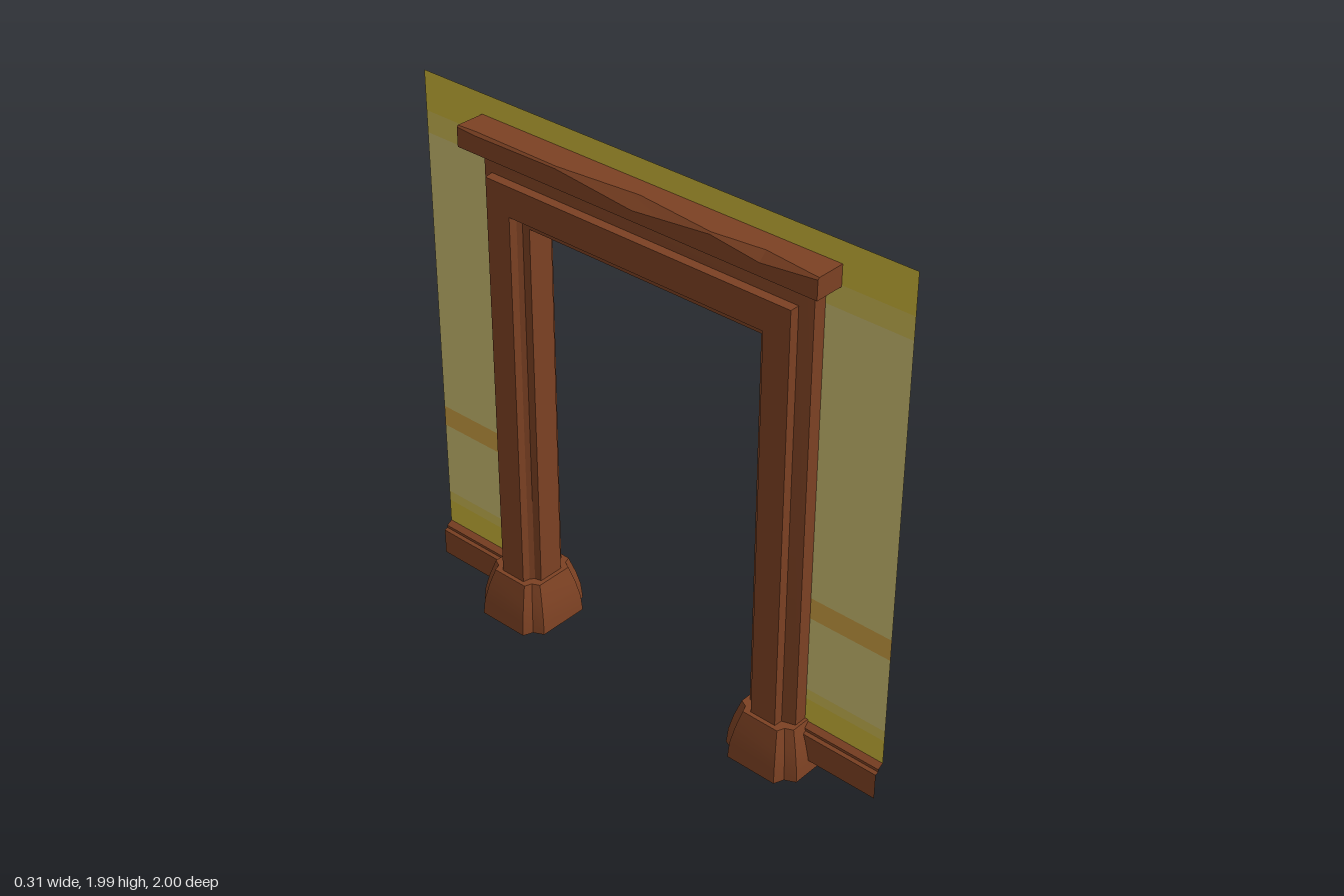
import * as THREE from 'three';
import { toCreasedNormals } from 'three/addons/utils/BufferGeometryUtils.js';

const mat = (name, color) => new THREE.MeshStandardMaterial({ name, color, side: THREE.DoubleSide });

// Skin a list of rings (arrays of [x, y, z]) into one surface
function loft(rings, { closed = true, capStart = false, capEnd = false, crease = 0.5 } = {}) {
  const pos = [];
  const tri = (a, b, c) => pos.push(...a, ...b, ...c);
  const n = rings[0].length;
  for (let r = 0; r < rings.length - 1; r++) {
    const A = rings[r], B = rings[r + 1];
    for (let i = 0; i < (closed ? n : n - 1); i++) {
      const j = (i + 1) % n;
      tri(A[i], A[j], B[j]);
      tri(A[i], B[j], B[i]);
    }
  }
  const cap = (ring, flip) => {
    const c = [0, 1, 2].map(k => ring.reduce((s, p) => s + p[k], 0) / n);
    ring.forEach((p, i) => {
      const q = ring[(i + 1) % n];
      if (flip) tri(c, q, p); else tri(c, p, q);
    });
  };
  if (capStart) cap(rings[0], true);
  if (capEnd) cap(rings[rings.length - 1], false);
  const g = new THREE.BufferGeometry();
  g.setAttribute('position', new THREE.Float32BufferAttribute(pos, 3));
  g.computeVertexNormals();
  return toCreasedNormals(g, crease);
}

export function createModel() {
  const group = new THREE.Group();
  const wood = mat('brown wood', 0x7c4123);
  const yellow = mat('yellow wall', 0xc9b238);
  const mid = mat('soft yellow wall', 0xc8b552);
  const khaki = mat('khaki wall', 0xc9ba70);
  const orange = mat('orange stripe', 0xc99c42);
  const add = (name, geo, material) => {
    const m = new THREE.Mesh(geo, material);
    m.name = name;
    group.add(m);
    return m;
  };

  // Moulded door frame: profile of [distance out from opening, half depth], swept with mitres
  const half = [[0, 0.05], [0.025, 0.056], [0.038, 0.07], [0.043, 0.097],
    [0.145, 0.097], [0.148, 0.065], [0.195, 0.05]];
  const profile = [...half, ...half.slice().reverse().map(([u, x]) => [u, -x])];
  const frameRing = (side, y) => profile.map(([u, x]) =>
    [x, y === null ? 1.6 + u * 1.08 : y, side * (0.485 + u)]);
  add('doorFrame', loft([frameRing(1, 0.02), frameRing(1, null),
    frameRing(-1, null), frameRing(-1, 0.02)]), wood);

  // Neck between frame and lintel
  const neck = new THREE.BoxGeometry(0.1, 0.07, 1.35);
  neck.translate(0, 1.805, 0);
  add('lintelNeck', neck, wood);

  // Lintel beam with worn upper edges: [z, chip on +x edge, chip on -x edge]
  const chips = [[-0.735, 0.025, 0.005], [-0.66, 0.005, 0.01], [-0.3, 0.038, 0.006],
    [0.02, 0.006, 0.038], [0.33, 0.038, 0.006], [0.52, 0.006, 0.03], [0.735, 0.005, 0.006]];
  add('lintel', loft(chips.map(([z, a, b]) => [
    [-0.113, 1.835, z], [0.113, 1.835, z], [0.113, 1.91 - a, z],
    [0.113 - a, 1.91, z], [-0.113 + b, 1.91, z], [-0.113, 1.91 - b, z],
  ]), { capStart: true, capEnd: true, crease: 0.15 }), wood);

  // Flared stone-like feet with notched corners, hollow underneath
  const plan = [];
  for (const [sx, sz] of [[1, 1], [-1, 1], [-1, -1], [1, -1]]) {
    const corner = [[0.155, 0.1], [0.118, 0.114], [0.1, 0.152]].map(([x, z]) => [sx * x, sz * z]);
    plan.push(...(sx * sz > 0 ? corner : corner.reverse()));
  }
  const levels = [[0, 1], [0.06, 0.965], [0.12, 0.87], [0.185, 0.73]];
  const foot = loft(levels.map(([y, s]) => plan.map(([x, z]) => [x * s, y, z * s])),
    { capEnd: true, crease: 0.35 });

  // Skirting board profile, set slightly to one side of the wall
  const skirt = [[-0.035, 0.05], [-0.035, 0.15], [-0.022, 0.155], [-0.022, 0.165], [0, 0.178]];

  // Wall colour bands beside the opening: [bottom, top, material, name]
  const bands = [
    [0.178, 0.27, yellow, 'wallLowerBand'],
    [0.27, 0.31, mid, 'wallLowerTrim'],
    [0.31, 0.6, khaki, 'wallLowerPanel'],
    [0.6, 0.68, orange, 'wallStripe'],
    [0.68, 1.76, khaki, 'wallPanel'],
    [1.76, 1.84, mid, 'wallUpperTrim'],
  ];
  const wallPlate = (name, y0, y1, z0, z1, material) => {
    const g = new THREE.PlaneGeometry(z1 - z0, y1 - y0);
    g.rotateY(Math.PI / 2);
    g.translate(0, (y0 + y1) / 2, (z0 + z1) / 2);
    add(name, g, material);
  };
  for (const [side, label] of [[1, 'Front'], [-1, 'Back']]) {
    add('foot' + label, foot, wood).position.z = side * 0.58;
    add('skirting' + label, loft([0.64, 1].map(z => skirt.map(([x, y]) => [x, y, side * z])),
      { closed: false }), wood);
    for (const [y0, y1, material, name] of bands) {
      const [z0, z1] = side > 0 ? [0.6, 1] : [-1, -0.6];
      wallPlate(name + label, y0, y1, z0, z1, material);
    }
  }
  wallPlate('wallTopBand', 1.84, 1.985, -1, 1, yellow);

  return group;
}
